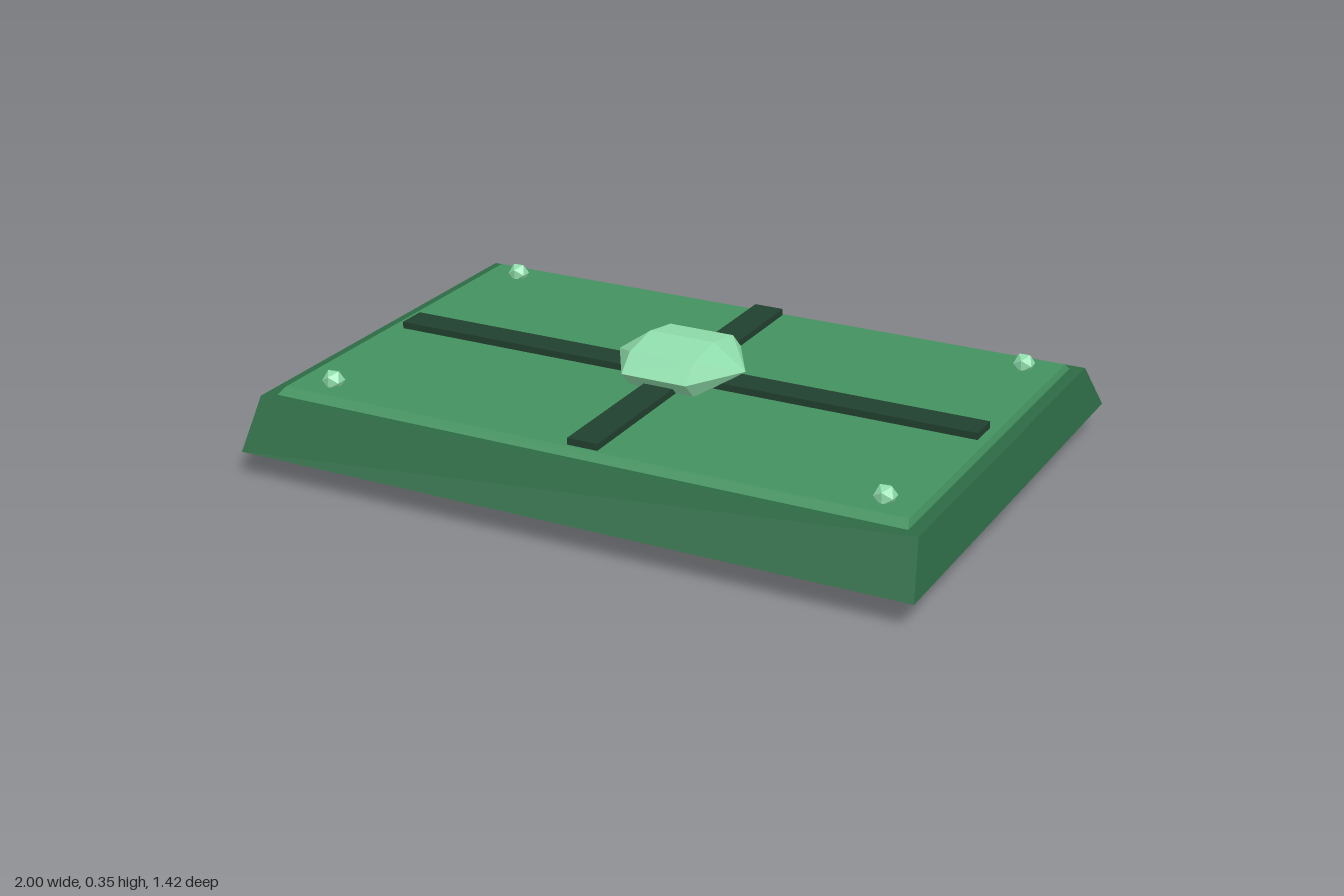
import * as THREE from 'three';

const paint = (name, color) => {
  const m = new THREE.MeshStandardMaterial({ color });
  m.name = name;
  return m;
};

// Faceted copy of a geometry
function faceted(geometry) {
  const g = geometry.index ? geometry.toNonIndexed() : geometry;
  g.computeVertexNormals();
  return g;
}

// Block whose top rectangle differs from its bottom one; each is [x0, x1, z0, z1]
function taperedBlock(bottom, top, y0, y1) {
  const g = new THREE.BoxGeometry(1, 1, 1);
  const p = g.attributes.position;
  for (let i = 0; i < p.count; i++) {
    const up = p.getY(i) > 0;
    const r = up ? top : bottom;
    p.setXYZ(i, p.getX(i) < 0 ? r[0] : r[1], up ? y1 : y0, p.getZ(i) < 0 ? r[2] : r[3]);
  }
  return faceted(g);
}

export function createModel() {
  const group = new THREE.Group();
  const body = paint('deep green', 0x2d6a45);
  const panel = paint('mid green', 0x44915f);
  const strap = paint('dark green', 0x21402e);
  const crystal = paint('pale green', 0x8fdcab);
  const wood = paint('brown', 0x5c3820);

  const add = (name, geometry, material) => {
    const mesh = new THREE.Mesh(geometry, material);
    mesh.name = name;
    group.add(mesh);
    return mesh;
  };
  const block = (name, r, y0, y1, material) => add(name, taperedBlock(r, r, y0, y1), material);

  // Sloped slab and raised panel
  add('slab', taperedBlock([-1, 1, -0.712, 0.712], [-0.99, 0.97, -0.623, 0.623], 0.077, 0.214), body);
  add('topPanel', taperedBlock([-0.953, 0.932, -0.597, 0.597], [-0.938, 0.925, -0.575, 0.575], 0.214, 0.234), panel);

  // Crossed straps
  block('longStrap', [-0.9, 0.9, -0.045, 0.045], 0.225, 0.254, strap);
  block('shortStrap', [-0.045, 0.045, -0.567, 0.567], 0.225, 0.2535, strap);

  // Central gem: a coarse flattened sphere with its poles along x
  const gem = new THREE.SphereGeometry(0.198, 8, 3).rotateZ(Math.PI / 2).scale(1, 0.41, 1);
  add('gem', faceted(gem), crystal).position.set(0, 0.282, 0);

  // Corner studs
  for (const x of [-0.83, 0.83]) {
    for (const z of [-0.5, 0.5]) {
      add('cornerStud', faceted(new THREE.IcosahedronGeometry(0.032, 0)), crystal).position.set(x, 0.246, z);
    }
  }

  // Wooden feet
  block('wideFoot', [-0.6, -0.267, -0.167, 0.167], 0, 0.085, wood);
  block('narrowFoot', [0.133, 0.333, -0.163, 0.163], 0, 0.085, wood);

  return group;
}
